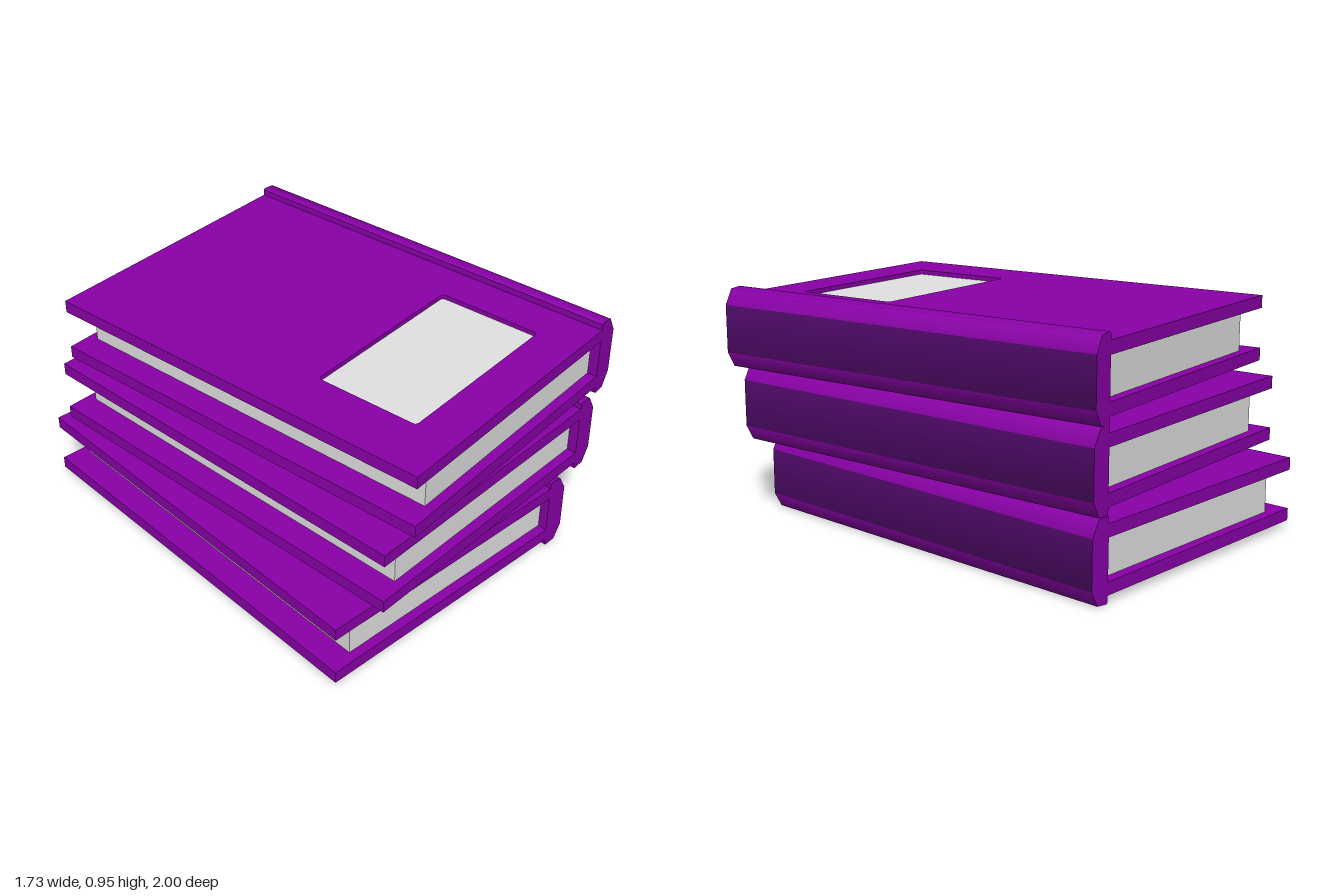
import * as THREE from 'three';
import { toCreasedNormals } from 'three/addons/utils/BufferGeometryUtils.js';

const W = 1.234, L = 1.704, SPINE = 0.088;     // book width, length, spine depth
const COVER = 0.05;                            // cover thickness
const LABEL = { x: -W + 0.60, z: L - 0.3955, w: 0.748, d: 0.437, r: 0.015 };

// Rectangle with rounded corners, drawn with y = -z
function roundedRect(path, cx, cy, w, h, r) {
  const x0 = cx - w / 2, x1 = cx + w / 2, y0 = cy - h / 2, y1 = cy + h / 2;
  path.moveTo(x0 + r, y0);
  path.lineTo(x1 - r, y0).quadraticCurveTo(x1, y0, x1, y0 + r);
  path.lineTo(x1, y1 - r).quadraticCurveTo(x1, y1, x1 - r, y1);
  path.lineTo(x0 + r, y1).quadraticCurveTo(x0, y1, x0, y1 - r);
  path.lineTo(x0, y0 + r).quadraticCurveTo(x0, y0, x0 + r, y0);
  return path;
}

// Bevelled spine; its flat outer face (x = 0) gets material 1, the rest material 0
function makeSpine() {
  const profile = [[0, 0.005], [0.008, 0], [0.055, 0.005], [SPINE, 0.065],
    [SPINE, 0.255], [0.055, 0.315], [0.008, 0.32], [0, 0.315]]
    .map(([x, y]) => new THREE.Vector2(x - SPINE, y));
  const spine = toCreasedNormals(
    new THREE.ExtrudeGeometry(new THREE.Shape(profile), { depth: L, bevelEnabled: false }), 1.0);
  const pos = spine.attributes.position;
  spine.clearGroups();
  for (let i = 0; i < pos.count; i += 3) {
    const outer = [0, 1, 2].every((k) => Math.abs(pos.getX(i + k)) < 1e-5);
    spine.addGroup(i, 3, outer ? 1 : 0);
  }
  return spine;
}

export function createModel() {
  const makeMaterial = (name, color) => {
    const material = new THREE.MeshStandardMaterial({ color });
    material.name = name;
    return material;
  };
  const purple = makeMaterial('purple cover', 0x8a00a8);
  const darkPurple = makeMaterial('dark purple spine', 0x4e0866);
  const paper = makeMaterial('grey paper', 0xe2e2e2);

  function add(group, name, geometry, material, x = 0, y = 0, z = 0) {
    const mesh = new THREE.Mesh(geometry, material);
    mesh.name = name;
    mesh.position.set(x, y, z);
    group.add(mesh);
  }

  // Board covers, the front one with a window for the label
  const boardW = W - SPINE, boardX = -(W + SPINE) / 2;
  const backBoard = new THREE.BoxGeometry(boardW, COVER, L);
  const outline = new THREE.Shape();
  outline.moveTo(-W, -L).lineTo(-SPINE, -L).lineTo(-SPINE, 0).lineTo(-W, 0).closePath();
  outline.holes.push(roundedRect(new THREE.Path(), LABEL.x, -LABEL.z, LABEL.w, LABEL.d, LABEL.r));
  const frontBoard = new THREE.ExtrudeGeometry(outline, { depth: COVER, bevelEnabled: false, curveSegments: 3 });
  frontBoard.rotateX(-Math.PI / 2);

  // Label sunk into the window of the front cover
  const label = new THREE.ExtrudeGeometry(
    roundedRect(new THREE.Shape(), LABEL.x, -LABEL.z, LABEL.w, LABEL.d, LABEL.r),
    { depth: 0.009, bevelEnabled: false, curveSegments: 3 });
  label.rotateX(-Math.PI / 2);

  // Page block, set back from the cover edges
  const pagesW = W - SPINE - 0.105;
  const pages = new THREE.BoxGeometry(pagesW, 0.16, L - 0.08);

  const spine = makeSpine();

  // Stack of books fanned around the back end of the spine
  const model = new THREE.Group();
  model.name = 'bookStack';
  const books = [
    ['bottomBook', 10.1, -0.990],
    ['middleBook', 14.7, -0.993],
    ['topBook', 17.6, -0.998],
  ];
  books.forEach(([name, degrees, z], i) => {
    const book = new THREE.Group();
    book.name = name;
    add(book, 'backCover', backBoard, purple, boardX, 0.03 + COVER / 2, L / 2);
    add(book, 'frontCover', frontBoard, purple, 0, 0.24);
    add(book, 'label', label, paper, 0, 0.263);
    add(book, 'pages', pages, paper, -SPINE - pagesW / 2, 0.16, L / 2);
    add(book, 'spine', spine, [purple, darkPurple]);
    book.position.set(0.35, i * 0.317, z);
    book.rotation.y = THREE.MathUtils.degToRad(degrees);
    model.add(book);
  });
  return model;
}
